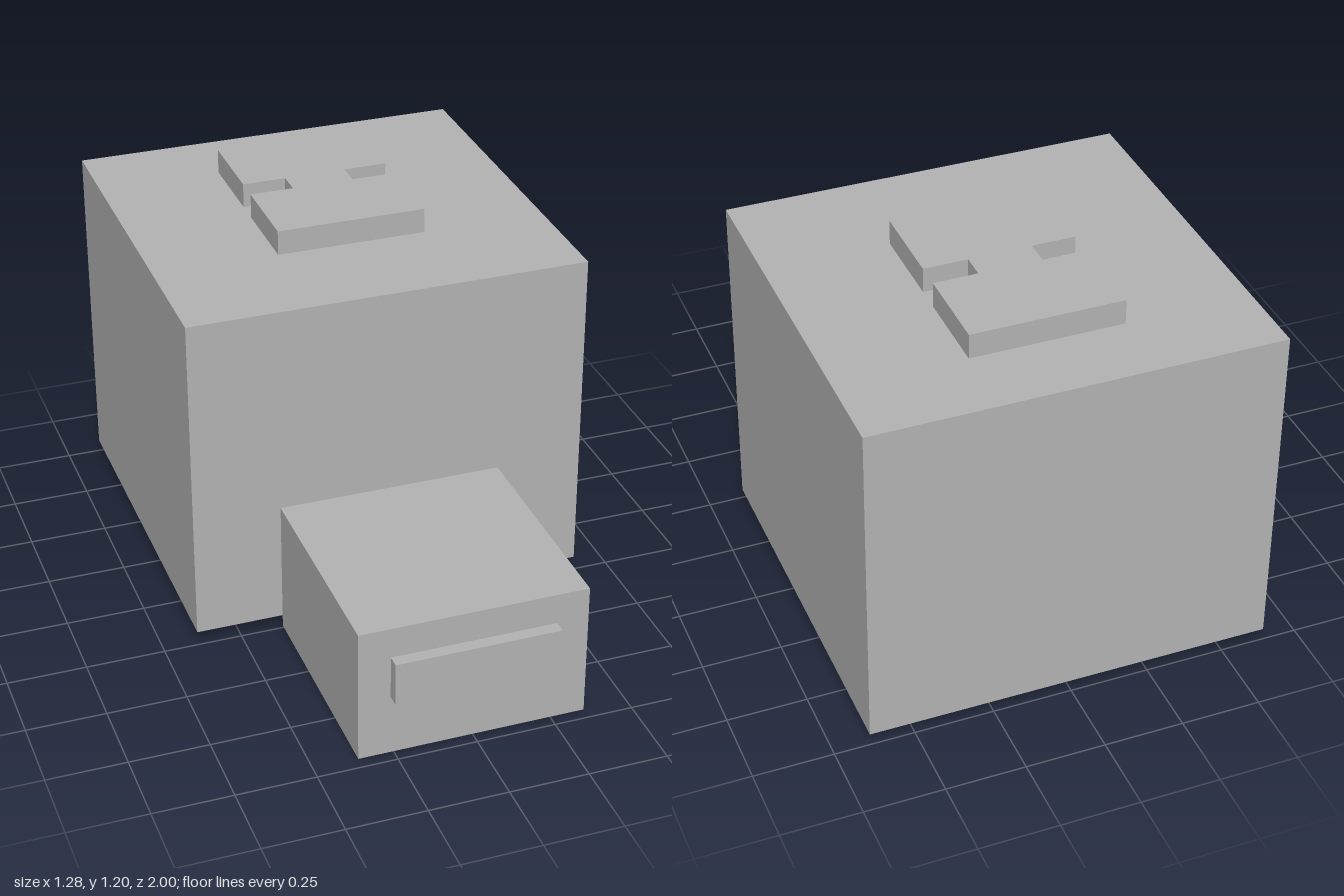
import * as THREE from 'three';

export function createModel() {
  const group = new THREE.Group();
  const grey = new THREE.MeshStandardMaterial({ color: 0xb3b3b3 });
  grey.name = 'grey';

  function add(name, geometry, x = 0, y = 0, z = 0) {
    const mesh = new THREE.Mesh(geometry, grey);
    mesh.name = name;
    mesh.position.set(x, y, z);
    group.add(mesh);
  }

  // Large block and the lower block projecting from its front
  add('mainBlock', new THREE.BoxGeometry(1.28, 1.08, 1.24), 0, 0.58, -0.38);
  add('frontBlock', new THREE.BoxGeometry(0.72, 0.44, 0.72), 0, 0.22, 0.6);

  // Raised bar on the front block
  add('frontBar', new THREE.BoxGeometry(0.52, 0.14, 0.04), 0, 0.27, 0.98);

  // Notched plate on the roof: right half outline, then mirrored
  const half = [[0.24, -0.32], [0.24, -0.04], [0.1, -0.04], [0.1, 0.04], [0.24, 0.04], [0.24, 0.32]];
  const outline = [...half, ...half.map(([x, y]) => [-x, y]).reverse()];
  const shape = new THREE.Shape(outline.map(([x, y]) => new THREE.Vector2(x, y)));
  const plate = new THREE.ExtrudeGeometry(shape, { depth: 0.08, bevelEnabled: false });
  plate.rotateX(-Math.PI / 2);
  add('topPlate', plate, 0, 1.12, -0.44);

  return group;
}
